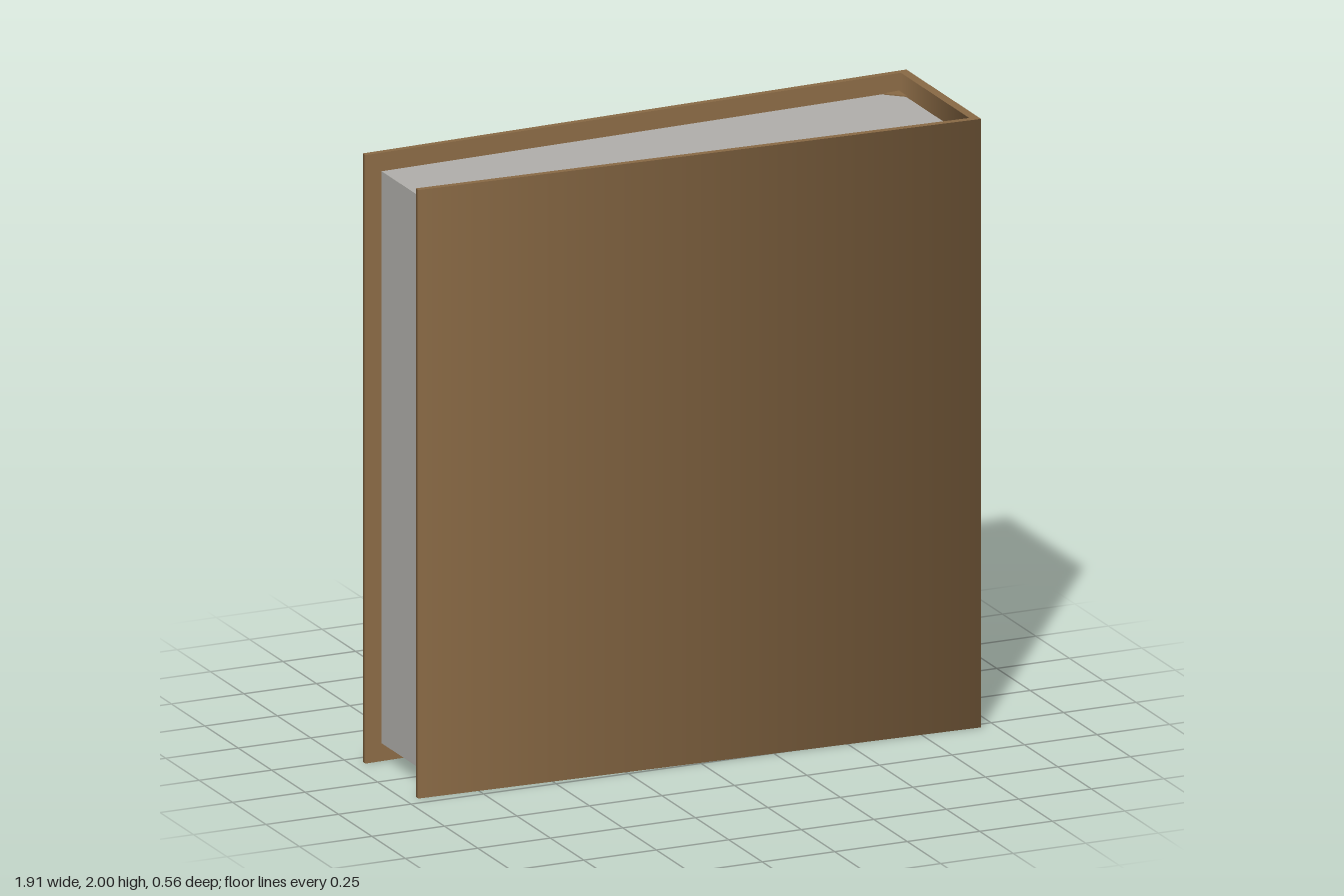
import * as THREE from 'three';

const leather = new THREE.MeshStandardMaterial({ name: 'brown leather', color: 0x8a6a45 });
const paper = new THREE.MeshStandardMaterial({ name: 'pale grey paper', color: 0xb2b0ac });

// Upright prism from a plan outline of [x, z] points
function prism(points, y0, y1) {
  const shape = new THREE.Shape(points.map(([x, z]) => new THREE.Vector2(x, -z)));
  const geo = new THREE.ExtrudeGeometry(shape, { depth: y1 - y0, bevelEnabled: false });
  return geo.rotateX(-Math.PI / 2).translate(0, y0, 0);
}

// Blend wall normals around vertical corners, keeping the end caps crisp
function smoothWalls(geo) {
  const p = geo.attributes.position, n = geo.attributes.normal, sums = new Map();
  const key = (i) => `${p.getX(i).toFixed(3)},${p.getZ(i).toFixed(3)}`;
  const isWall = (i) => Math.abs(n.getY(i)) < 0.5;
  for (let i = 0; i < p.count; i++) {
    if (!isWall(i)) continue;
    if (!sums.has(key(i))) sums.set(key(i), new THREE.Vector3());
    sums.get(key(i)).add(new THREE.Vector3().fromBufferAttribute(n, i));
  }
  for (let i = 0; i < p.count; i++) {
    if (!isWall(i)) continue;
    const v = sums.get(key(i)).clone().normalize();
    n.setXYZ(i, v.x, v.y, v.z);
  }
  return geo;
}

export function createModel() {
  const book = new THREE.Group();
  book.name = 'book';
  const add = (name, geo, material) => {
    const mesh = new THREE.Mesh(geo, material);
    mesh.name = name;
    book.add(mesh);
  };

  // Tapered U-shaped binding: two cover boards joined by the spine
  add('binding', smoothWalls(prism([
    [-0.955, 0.208], [0.952, 0.28], [0.952, -0.28], [-0.955, -0.208],
    [-0.955, -0.188], [0.922, -0.256], [0.922, 0.256], [-0.955, 0.188],
  ], 0, 2)), leather);

  // Page block, recessed at the top, bottom and open side
  add('pages', prism([
    [-0.9, 0.187], [0.912, 0.252], [0.912, -0.252], [-0.9, -0.187],
  ], 0.06, 1.94), paper);

  // Leather corners folded over the page block beside the spine
  for (const s of [1, -1]) {
    add(s > 0 ? 'frontCornerFold' : 'backCornerFold',
      prism([[0.857, 0.245 * s], [0.914, 0.252 * s], [0.914, 0.192 * s]], 1.937, 1.944), leather);
  }

  // Spine label with rounded corners, shaded like the spine beneath it
  const w = 0.2, h = 0.178, r = 0.025;
  const shape = new THREE.Shape();
  shape.moveTo(-w + r, -h);
  shape.lineTo(w - r, -h).quadraticCurveTo(w, -h, w, -h + r);
  shape.lineTo(w, h - r).quadraticCurveTo(w, h, w - r, h);
  shape.lineTo(-w + r, h).quadraticCurveTo(-w, h, -w, h - r);
  shape.lineTo(-w, -h + r).quadraticCurveTo(-w, -h, -w + r, -h);
  const label = new THREE.ShapeGeometry(shape, 6);
  label.rotateY(Math.PI / 2).translate(0.955, 1.297, -0.005);
  const p = label.attributes.position;
  for (let i = 0; i < p.count; i++) {
    const v = new THREE.Vector3(1, 0, p.getZ(i) / 0.28).normalize();
    label.attributes.normal.setXYZ(i, v.x, v.y, v.z);
  }
  add('spineLabel', label, paper);

  return book;
}
